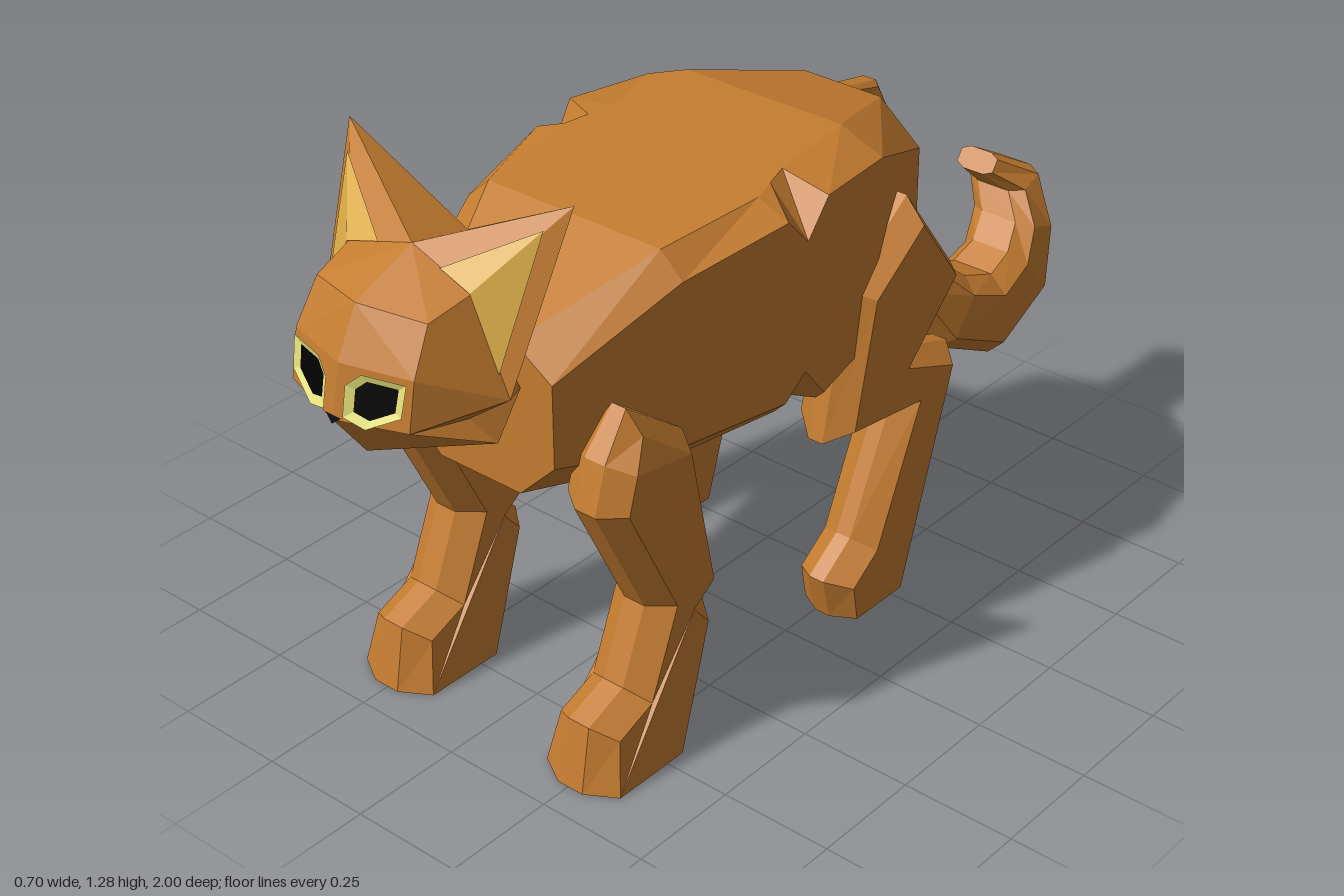
import * as THREE from 'three';

const mat = (name, color, double) => {
  const m = new THREE.MeshStandardMaterial({ color });
  m.name = name;
  if (double) m.side = THREE.DoubleSide;
  return m;
};

// Flat-shaded geometry from a list of triangles, each three [x, y, z] corners
function fromTriangles(tris) {
  const g = new THREE.BufferGeometry();
  g.setAttribute('position', new THREE.Float32BufferAttribute(tris.flat(2), 3));
  g.computeVertexNormals();
  return g;
}

// Skin a row of equal-length rings and close both ends
function loft(rings) {
  const tris = [], n = rings[0].length;
  for (let r = 0; r < rings.length - 1; r++) {
    const a = rings[r], b = rings[r + 1];
    for (let i = 0; i < n; i++) {
      const j = (i + 1) % n;
      tris.push([a[i], b[i], b[j]], [a[i], b[j], a[j]]);
    }
  }
  const first = rings[0], last = rings[rings.length - 1];
  for (let i = 1; i < n - 1; i++) {
    tris.push([first[0], first[i], first[i + 1]], [last[0], last[i + 1], last[i]]);
  }
  return fromTriangles(tris);
}

// Polygons fanned into triangles that face away from the middle of the head
const headCentre = new THREE.Vector3(0, 0.95, 0.7);
function outward(polys) {
  const tris = [];
  for (const p of polys) {
    for (let i = 1; i < p.length - 1; i++) {
      const [a, b, c] = [p[0], p[i], p[i + 1]].map(q => new THREE.Vector3(...q));
      const n = b.clone().sub(a).cross(c.clone().sub(a));
      const out = n.dot(a.clone().sub(headCentre)) > 0;
      tris.push(out ? [p[0], p[i], p[i + 1]] : [p[0], p[i + 1], p[i]]);
    }
  }
  return fromTriangles(tris);
}
const flip = (p, s) => [p[0] * s, p[1], p[2]];
const mix = (a, b, t) => a.map((v, i) => v + (b[i] - v) * t);

// Leg: side outline of [z, y] points, extruded with deep chamfers;
// the sole may spread, and the leg narrows above the shoulder height
function legGeometry(outline, width, spread, shoulder) {
  const b = 0.036, deep = 0.052;
  const shape = new THREE.Shape(outline.map(([z, y]) => new THREE.Vector2(z, y === 0 ? -b : y)));
  const g = new THREE.ExtrudeGeometry(shape, {
    depth: width - 2 * deep, bevelThickness: deep, bevelSize: b, bevelOffset: -b, bevelSegments: 1,
  });
  g.translate(0, 0, deep - width / 2);
  g.rotateY(-Math.PI / 2);
  const p = g.attributes.position;
  for (let i = 0; i < p.count; i++) {
    const y = p.getY(i), k = y < 0.11 ? spread : y > shoulder ? 0.68 : 1;
    p.setXYZ(i, p.getX(i) * k, Math.max(0, y), p.getZ(i));
  }
  g.computeVertexNormals();
  return g;
}

export function createModel() {
  const model = new THREE.Group();
  model.name = 'cat';
  const fur = mat('fur', 0xc47c30);
  const innerEar = mat('innerEar', 0xdcac48, true);
  const iris = mat('iris', 0xe4e27a, true);
  const black = mat('black', 0x020202, true);
  const add = (name, geometry, material, parent = model) => {
    const m = new THREE.Mesh(geometry, material);
    m.name = name;
    parent.add(m);
    return m;
  };

  // Body: z, top, shoulder height, bottom, half width, half width of back, lower chamfer
  const sections = [
    [0.635, 0.93, 0.87, 0.6, 0.195, 0.1, 0.09],
    [0.36, 1.05, 1.0, 0.58, 0.275, 0.22, 0.06],
    [0.11, 1.07, 1.04, 0.61, 0.325, 0.25, 0.03],
    [0.055, 1.075, 0.98, 0.61, 0.33, 0.235, 0.08],
    [0.0, 1.08, 1.06, 0.6, 0.335, 0.22, 0.02],
    [-0.21, 1.09, 1.05, 0.6, 0.305, 0.2, 0.05],
    [-0.475, 1.025, 0.94, 0.67, 0.205, 0.1, 0.1],
  ];
  add('body', loft(sections.map(([z, top, side, bottom, w, back, c]) => {
    const half = [[w - c, bottom, z], [w, bottom + c, z], [w, side, z], [back, top, z]];
    return [...half, ...half.map(p => flip(p, -1)).reverse()];
  })), fur);

  // Legs
  const foreleg = legGeometry([
    [0.68, 0], [0.65, 0.14], [0.55, 0.18], [0.485, 0.34], [0.62, 0.61], [0.59, 0.71], [0.52, 0.8],
    [0.37, 0.69], [0.295, 0.33], [0.345, 0.3], [0.31, 0.265], [0.43, 0],
  ].reverse(), 0.155, 1.25, 0.73);
  const hindLeg = legGeometry([
    [-0.1, 0], [-0.075, 0.1], [-0.165, 0.165], [-0.285, 0.425], [-0.06, 0.45], [-0.13, 0.78],
    [-0.32, 0.92], [-0.485, 0.7], [-0.33, 0.56], [-0.485, 0.51], [-0.31, 0],
  ].reverse(), 0.14, 1, 1);
  for (const [side, s] of [['left', 1], ['right', -1]]) {
    add(side + 'Foreleg', foreleg, fur).position.x = s * 0.255;
    add(side + 'HindLeg', hindLeg, fur).position.x = s * 0.27;
  }

  // Tail: x, y, z of the centre line, half thickness seen from the side, half width
  const path = [
    [0, 1.01, -0.45, 0.018, 0.025], [0, 0.98, -0.55, 0.032, 0.03], [0.015, 0.9, -0.575, 0.036, 0.04],
    [0.05, 0.72, -0.54, 0.04, 0.06], [0.105, 0.58, -0.56, 0.06, 0.08],
    [0.14, 0.475, -0.64, 0.085, 0.09], [0.155, 0.42, -0.77, 0.1, 0.092],
    [0.16, 0.48, -0.89, 0.095, 0.085], [0.14, 0.575, -0.94, 0.06, 0.082],
    [0.1, 0.665, -0.955, 0.045, 0.075], [0.075, 0.715, -0.882, 0.026, 0.048],
  ];
  const tailSection = [[1, -0.6], [1, 0.6], [0.55, 1], [-0.55, 1], [-1, 0.6], [-1, -0.6], [-0.55, -1], [0.55, -1]];
  add('tail', loft(path.map(([x, y, z, thick, wide], i) => {
    const a = path[Math.max(0, i - 1)], b = path[Math.min(path.length - 1, i + 1)];
    const len = Math.hypot(b[1] - a[1], b[2] - a[2]);
    const ny = -(b[2] - a[2]) / len, nz = (b[1] - a[1]) / len;
    return tailSection.map(([u, v]) => [x + u * wide, y + v * thick * ny, z + v * thick * nz]);
  })), fur);

  // Head: corners of one half, mirrored
  const head = new THREE.Group();
  head.name = 'head';
  model.add(head);
  const crown = [0, 1.16, 0.78], nape = [0, 1.13, 0.64], neck = [0, 0.93, 0.61], throat = [0, 0.79, 0.66];
  const brow = [0, 1.1, 0.925], bridge = [0, 1.0, 0.975], nose = [0, 0.89, 0.995];
  const mouth = [0, 0.79, 0.92], chin = [0, 0.75, 0.82];
  const temple = [0.155, 1.115, 0.79], earTip = [0.28, 1.277, 0.655], earBase = [0.24, 0.93, 0.79];
  const browCorner = [0.14, 1.09, 0.885], browSide = [0.15, 1.0, 0.935];
  const muzzle = [0.15, 0.9, 0.9525], cheek = [0.215, 0.835, 0.8], jaw = [0.12, 0.84, 0.64];
  const cheekNotch = [0.175, 0.885, 0.83];
  const halfHead = [
    [crown, temple, browCorner, brow], [brow, browCorner, browSide, bridge],
    [temple, earBase, browCorner], [browCorner, earBase, browSide],
    [bridge, browSide, muzzle, nose], [browSide, earBase, muzzle],
    [earBase, cheekNotch, muzzle], [cheekNotch, cheek, muzzle],
    [nose, muzzle, cheek], [nose, cheek, mouth], [mouth, cheek, chin],
    [chin, cheek, jaw], [chin, jaw, throat],
    [earBase, cheekNotch, jaw], [cheekNotch, cheek, jaw], [earBase, jaw, neck],
    [neck, jaw, throat], [crown, earTip, temple], [temple, earTip, earBase],
    [crown, earTip, nape], [nape, earTip, neck], [earTip, earBase, neck],
  ];
  add('skull', outward([1, -1].flatMap(s => halfHead.map(f => f.map(p => flip(p, s))))), fur, head);

  // Ear linings and eyes lie just above the faces of the head
  const lift = p => [p[0], p[1] + 0.002, p[2] + 0.005];
  const top = lift(mix(temple, earTip, 0.72)), low = lift(temple);
  const lining = [[lift(mix(temple, crown, 0.5)), top, low], [low, top, lift(mix(temple, earBase, 0.76))]];
  const onFace = (x, y, d) => [x, y, 0.975 - 0.27 * x - 0.18 * (y - 1) + d];
  const eye = [[0.142, 0.993], [0.054, 0.993], [0.024, 0.966], [0.024, 0.905], [0.07, 0.892], [0.138, 0.93]];
  for (const [side, s] of [['left', 1], ['right', -1]]) {
    add(side + 'InnerEar', outward(lining.map(f => f.map(p => flip(p, s)))), innerEar, head);
    const outline = (k, d) => eye.map(([x, y]) =>
      flip(onFace(0.08 + (x - 0.08) * k, 0.946 + (y - 0.946) * k, d), s));
    // The rim slopes in to the pupil
    const outer = outline(1, 0.009), inner = outline(0.71, 0.003);
    add(side + 'Eye', outward(outer.map((p, i) => {
      const j = (i + 1) % outer.length;
      return [p, outer[j], inner[j], inner[i]];
    })), iris, head);
    add(side + 'Pupil', outward([inner]), black, head);
  }
  add('nose', outward([[[-0.02, 0.9, 0.994], [0.02, 0.9, 0.994], [0, 0.885, 0.999]]]), black, head);
  return model;
}
